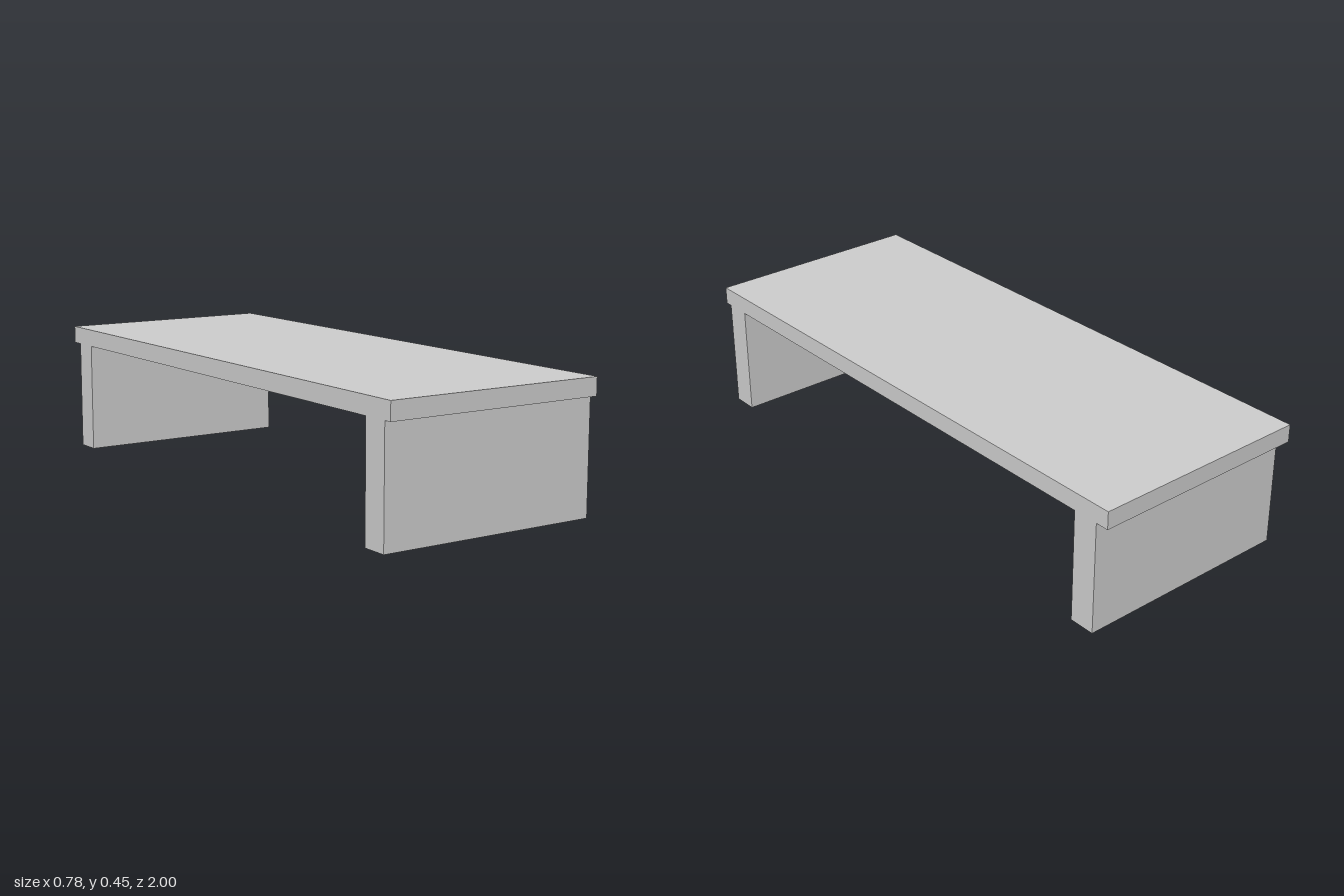
import * as THREE from 'three';

const WIDTH = 0.78;
const LEG_HEIGHT = 0.387;
const TOP_HEIGHT = 0.448;

export function createModel() {
  const group = new THREE.Group();
  group.name = 'bench';
  const material = new THREE.MeshStandardMaterial({ color: 0xcccccc });

  // Full-width block between two heights and two depths
  function addSlab(name, y0, y1, z0, z1) {
    const mesh = new THREE.Mesh(new THREE.BoxGeometry(WIDTH, y1 - y0, z1 - z0), material);
    mesh.name = name;
    mesh.position.set(0, (y0 + y1) / 2, (z0 + z1) / 2);
    group.add(mesh);
  }

  // Long flat top
  addSlab('top', LEG_HEIGHT, TOP_HEIGHT, -1, 1);

  // Panel legs, the back one set in slightly further
  addSlab('frontLeg', 0, LEG_HEIGHT, 0.882, 0.973);
  addSlab('backLeg', 0, LEG_HEIGHT, -0.954, -0.863);

  return group;
}
